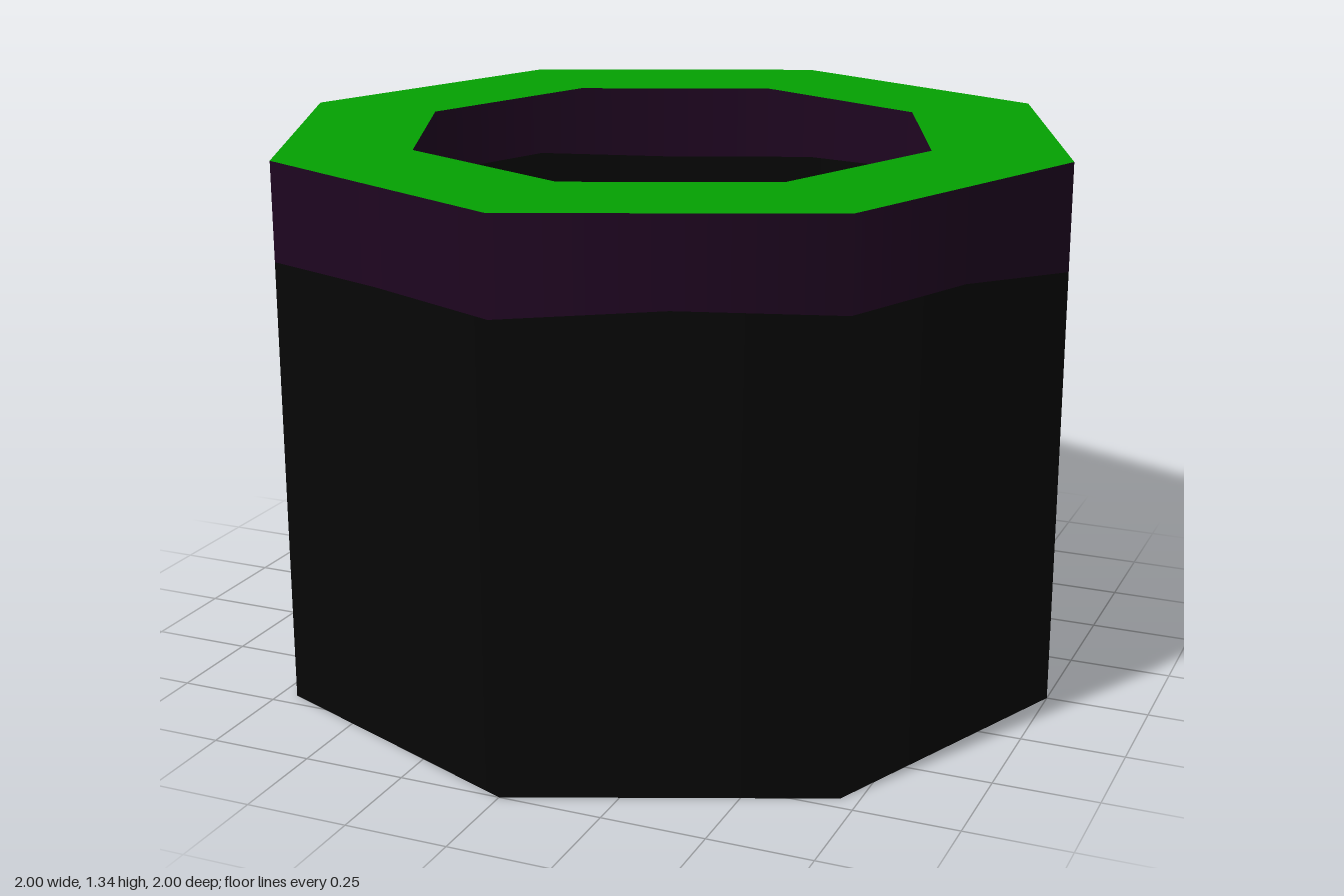
import * as THREE from 'three';

const SIDES = 8, STEPS = 16, HEIGHT = 1.34, OUTER = 1, INNER = 0.66;

// Uneven lower edge of the painted band, from +z round through +x
const EDGE = [1.11, 1.13, 1.12, 1.12, 1.08, 1.1, 1.11, 1.11, 1.09, 1.09, 1.1, 1.1, 1.14, 1.12, 1.1, 1.11];

// Thin octagonal wall between two heights, with smooth radial normals
function wall(low, high) {
  const pos = [], nor = [], idx = [];
  for (let i = 0; i <= STEPS; i++) {
    const a = (i / STEPS) * Math.PI * 2;
    const r = i % 2 ? OUTER * Math.cos(Math.PI / SIDES) : OUTER;
    for (const y of [low(i % STEPS), high(i % STEPS)]) {
      pos.push(r * Math.sin(a), y, r * Math.cos(a));
      nor.push(Math.sin(a), 0, Math.cos(a));
    }
    if (i === STEPS) break;
    const p = i * 2;
    idx.push(p, p + 2, p + 1, p + 2, p + 3, p + 1);
  }
  const g = new THREE.BufferGeometry();
  g.setAttribute('position', new THREE.Float32BufferAttribute(pos, 3));
  g.setAttribute('normal', new THREE.Float32BufferAttribute(nor, 3));
  g.setIndex(idx);
  return g;
}

export function createModel() {
  const group = new THREE.Group();
  const mat = (name, color) => {
    const m = new THREE.MeshStandardMaterial({ color, side: THREE.DoubleSide });
    m.name = name;
    return m;
  };
  const black = mat('charcoal black', 0x060606);
  const purple = mat('dark purple', 0x1e0520);
  const green = mat('bright green', 0x04a002);
  const add = (name, geometry, material) => {
    const mesh = new THREE.Mesh(geometry, material);
    mesh.name = name;
    group.add(mesh);
    return mesh;
  };
  const addFlat = (name, geometry, material, y) => {
    const mesh = add(name, geometry, material);
    mesh.rotation.x = -Math.PI / 2;
    mesh.position.y = y;
  };
  const edge = (i) => EDGE[i];

  // Thin shell with its painted band, seen from both sides
  add('wall', wall(() => 0, edge), black);
  add('band', wall(edge, () => HEIGHT), purple);

  // Flat rim on top
  addFlat('rim', new THREE.RingGeometry(INNER, OUTER, SIDES), green, HEIGHT);

  // Square floor plate set just above the open bottom, corners on the axes
  addFlat('floor', new THREE.CircleGeometry(0.96, 4), black, 0.07);

  return group;
}
